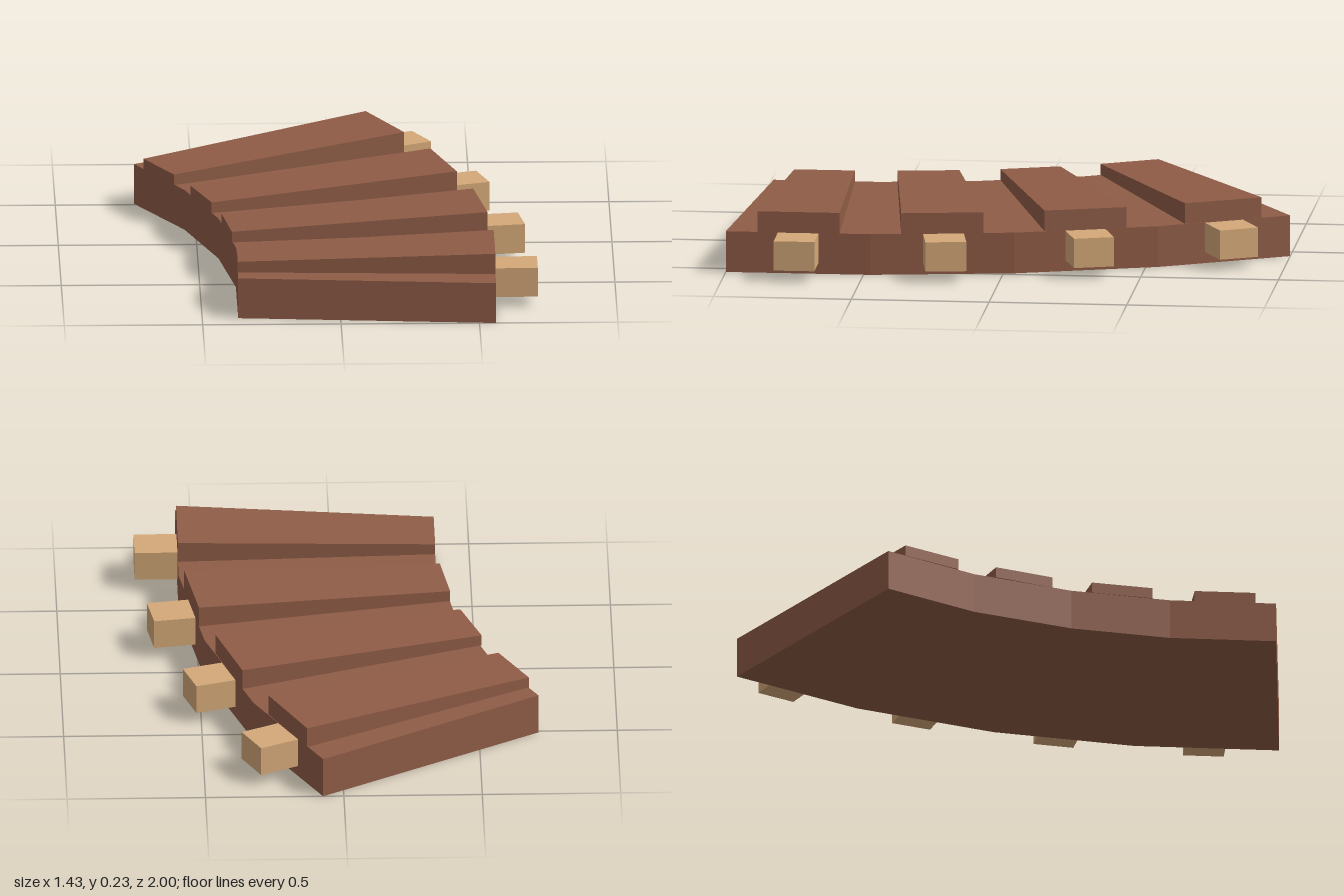
import * as THREE from 'three';

const BASE_TOP = 0.15, INNER_TOP = 0.19, OUTER_TOP = 0.226;

const material = (color) => new THREE.MeshStandardMaterial({ color, flatShading: true });

// Unit box reshaped into a wedge between two radial lines [innerX, innerZ, outerX, outerZ]
function wedgeGeometry(front, back) {
  const geometry = new THREE.BoxGeometry(1, 1, 1).toNonIndexed();
  const p = geometry.attributes.position;
  for (let i = 0; i < p.count; i++) {
    const line = p.getZ(i) > 0 ? front : back;
    const outer = p.getX(i) > 0;
    const top = outer ? OUTER_TOP : INNER_TOP;
    const y = p.getY(i) > 0 ? top : BASE_TOP;
    p.setXYZ(i, line[outer ? 2 : 0], y, line[outer ? 3 : 1]);
  }
  geometry.computeVertexNormals();
  return geometry;
}

export function createModel() {
  const model = new THREE.Group();
  model.name = 'curvedSteppedSlab';
  const brown = material(0x8f5c46);
  const tan = material(0xd4a878);

  const add = (name, geometry, mat) => {
    const mesh = new THREE.Mesh(geometry, mat);
    mesh.name = name;
    model.add(mesh);
    return mesh;
  };

  // Curved base slab: outer edge front to back, then inner edge back to front
  const outline = [
    [0.56, 1.0], [0.56, 0.475], [0.48, -0.04], [0.315, -0.545], [0.075, -1.0],
    [-0.715, -0.51], [-0.54, -0.185], [-0.425, 0.175], [-0.37, 0.535], [-0.37, 0.92],
  ];
  const shape = new THREE.Shape(outline.map(([x, z]) => new THREE.Vector2(x, -z)));
  const base = new THREE.ExtrudeGeometry(shape, { depth: BASE_TOP, bevelEnabled: false });
  base.rotateX(-Math.PI / 2);
  add('base', base, brown);

  // Raised treads, higher at the outer edge: front line, back line
  const treads = [
    [[-0.37, 0.845, 0.56, 0.885], [-0.37, 0.625, 0.56, 0.587]],
    [[-0.383, 0.472, 0.543, 0.365], [-0.415, 0.25, 0.497, 0.07]],
    [[-0.448, 0.105, 0.443, -0.145], [-0.52, -0.105, 0.353, -0.433]],
    [[-0.577, -0.245, 0.263, -0.637], [-0.682, -0.445, 0.13, -0.902]],
  ];
  treads.forEach(([front, back], i) => add(`tread${i + 1}`, wedgeGeometry(front, back), brown));

  // Pegs standing out from each facet of the outer edge, placed by their end faces
  const length = 0.18, height = 0.108;
  const pegEnds = [[0.715, 0.737], [0.669, 0.19], [0.541, -0.335], [0.33, -0.84]];
  pegEnds.forEach(([x, z], i) => {
    const geometry = new THREE.BoxGeometry(length, height, 0.148).translate(-length / 2, 0, 0);
    const peg = add(`peg${i + 1}`, geometry, tan);
    peg.position.set(x, 0.149 - height / 2, z);
    peg.rotation.y = THREE.MathUtils.degToRad(9 * i);
  });

  return model;
}
